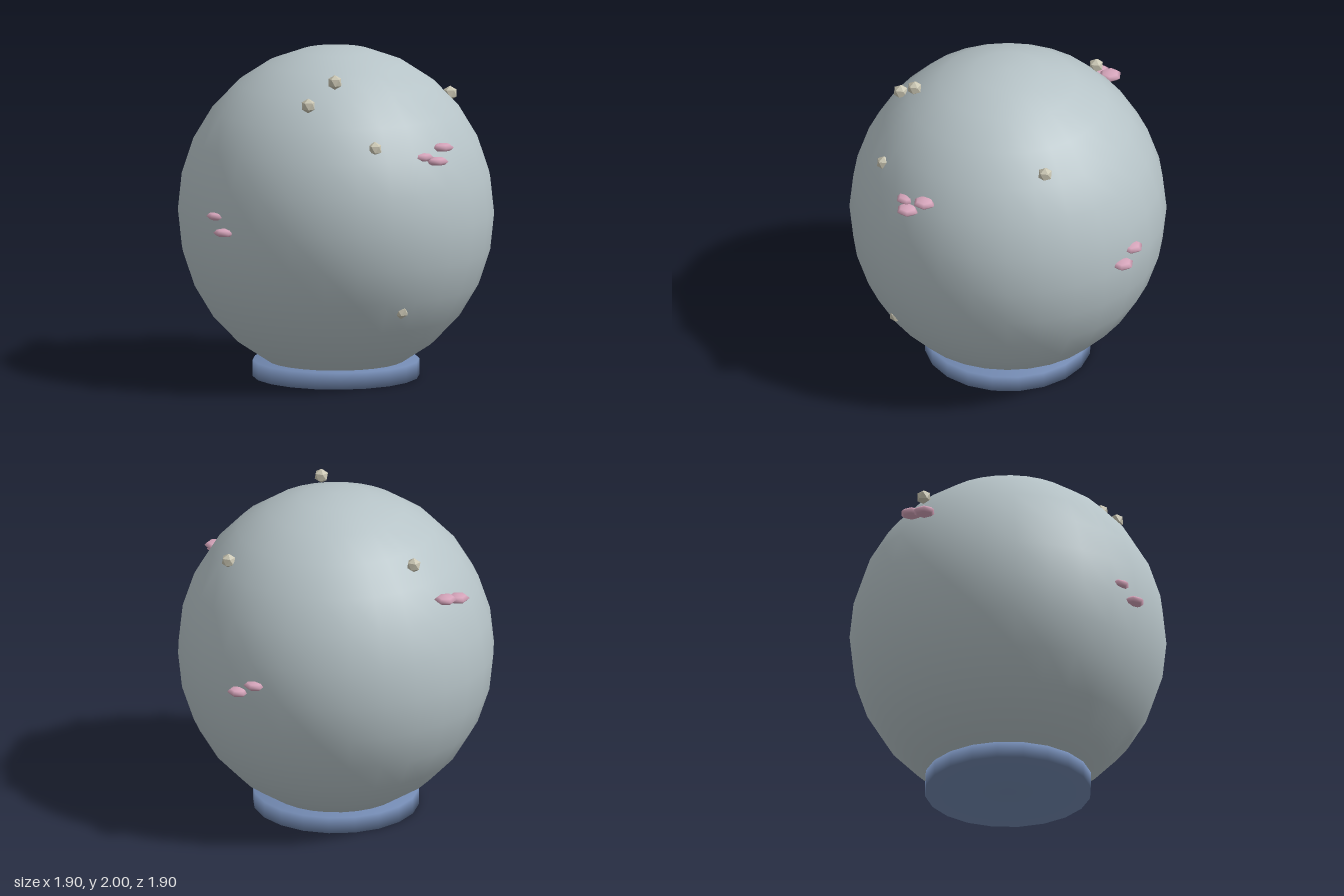
import * as THREE from 'three';
import { mergeVertices } from 'three/addons/utils/BufferGeometryUtils.js';

const paint = (name, color) => {
  const m = new THREE.MeshStandardMaterial({ color });
  m.name = name;
  return m;
};

export function createModel() {
  const model = new THREE.Group();
  const globeGrey = paint('pale blue grey', 0xb6c3c7);
  const standBlue = paint('slate blue', 0x738ab2);
  const petalPink = paint('dusty pink', 0xd6a5bb);
  const beadCream = paint('warm cream', 0xc9c5b2);
  beadCream.flatShading = true;

  const add = (name, geometry, material, [x, y, z] = [0, 0, 0], parent = model) => {
    const mesh = new THREE.Mesh(geometry, material);
    mesh.name = name;
    mesh.position.set(x, y, z);
    parent.add(mesh);
    return mesh;
  };

  // Slightly tall globe
  const globe = new THREE.SphereGeometry(1, 28, 14);
  globe.scale(0.95, 1, 0.95);
  add('globe', globe, globeGrey, [0, 1, 0]);

  // Round stand, with normals shared across its rims for a soft edge
  let stand = new THREE.CylinderGeometry(0.5, 0.5, 0.1, 20);
  stand.deleteAttribute('normal');
  stand.deleteAttribute('uv');
  stand = mergeVertices(stand);
  stand.computeVertexNormals();
  add('stand', stand, standBlue, [0, 0.05, 0]);

  // Faceted beads, one corner pointing straight up
  const bead = new THREE.IcosahedronGeometry(0.045, 0);
  bead.rotateX(-Math.atan2(1 + Math.sqrt(5), 2));
  bead.rotateY(Math.PI / 2);
  const beads = new THREE.Group();
  beads.name = 'beads';
  model.add(beads);
  [
    [-0.21, 1.88, 0.52], [-0.385, 1.75, 0.53], [0.7, 1.685, 0.085],
    [-0.15, 1.74, -0.655], [-0.06, 1.51, 0.795], [0.11, 0.51, 0.79],
  ].forEach((p) => add('bead', bead, beadCream, p, beads));

  // Flat six-sided petals in small clusters around the globe
  const petal = new THREE.SphereGeometry(0.069, 6, 4);
  petal.rotateY(Math.PI / 2);
  petal.scale(1, 0.38, 1);
  const petals = new THREE.Group();
  petals.name = 'petals';
  model.add(petals);
  [
    [0.25, 1.44, 0.785], [0.33, 1.415, 0.82], [0.395, 1.483, 0.74],
    [-0.865, 0.985, 0.385], [-0.87, 1.07, 0.28],
    [0.885, 1.03, -0.34], [0.825, 1.09, -0.43],
    [-0.385, 1.52, -0.78], [-0.28, 1.545, -0.81],
  ].forEach((p) => add('petal', petal, petalPink, p, petals));

  return model;
}
